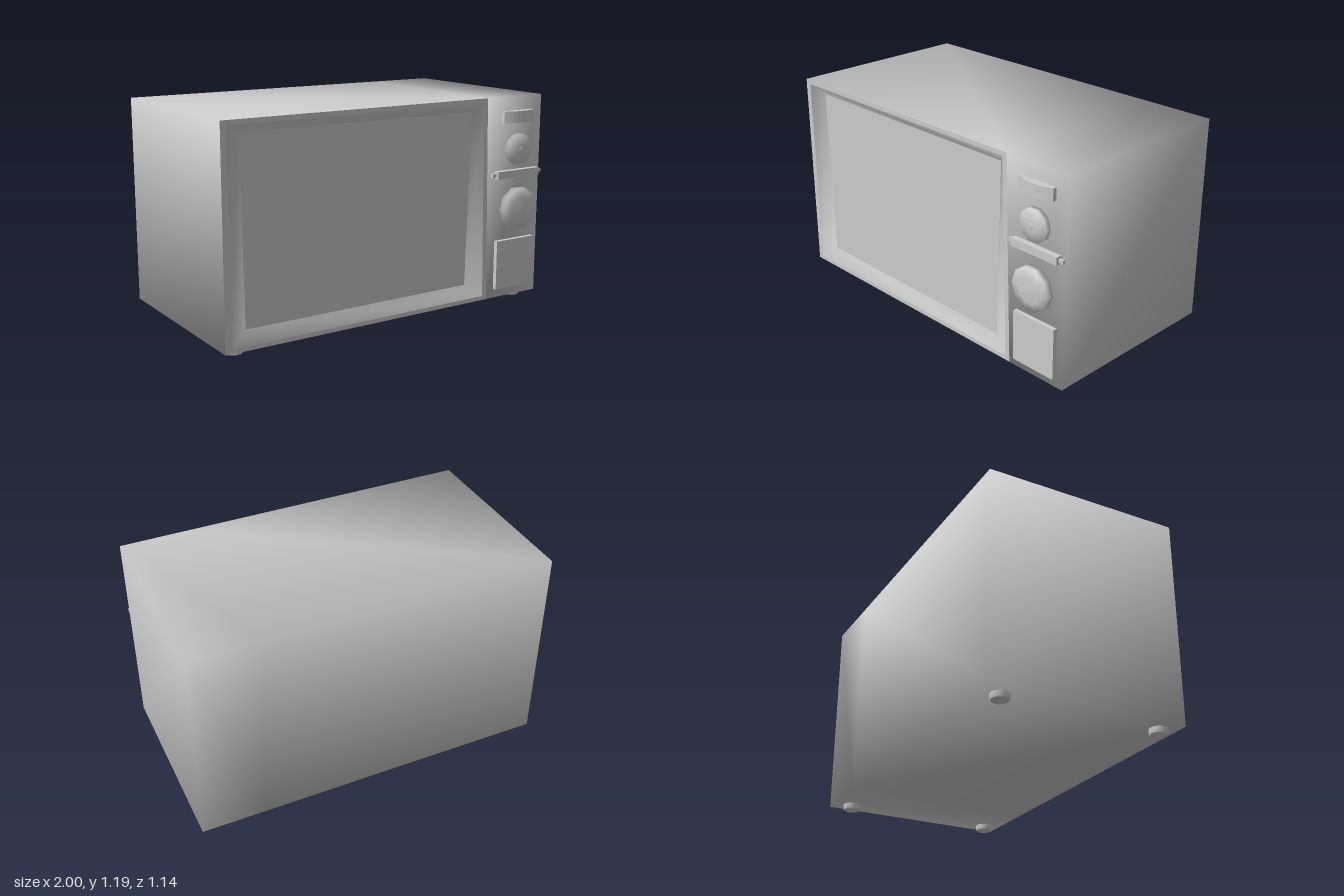
import * as THREE from 'three';

const material = new THREE.MeshStandardMaterial({ color: 0xcccccc });
const FRONT = 0.505, BACK = -0.572, TOP = 1.187, BOTTOM = 0.047;

function add(parent, name, geometry, x = 0, y = 0, z = 0) {
  const mesh = new THREE.Mesh(geometry, material);
  mesh.name = name;
  mesh.position.set(x, y, z);
  parent.add(mesh);
  return mesh;
}

// Smooth skin over closed loops of equal length, running counter-clockwise from back to front
function loft(rings, caps) {
  const n = rings[0].length;
  const index = [];
  for (let r = 0; r < rings.length - 1; r++) {
    for (let k = 0; k < n; k++) {
      const a = r * n + k, b = r * n + (k + 1) % n;
      index.push(a, b, a + n, b, b + n, a + n);
    }
  }
  const geometry = new THREE.BufferGeometry();
  geometry.setAttribute('position', new THREE.Float32BufferAttribute(rings.flat(2), 3));
  geometry.setIndex([...index, ...caps]);
  geometry.computeVertexNormals();
  return geometry;
}

const loop = (z, ...corners) => corners.map(([x, y]) => [x, y, z]);

// Door outlines: outer edge, inner edge of the lip, and the sunken window
const doorOuter = [[-1, BOTTOM], [0.64, BOTTOM], [0.61, TOP], [-1, TOP]];
const doorLip = [[-0.965, 0.07], [0.61, 0.07], [0.585, 1.163], [-0.965, 1.163]];
const doorWindow = [[-0.868, 0.142], [0.51, 0.142], [0.535, 1.114], [-0.882, 1.114]];

// Body shell: back, four sides and the flush control panel beside the door
function shellGeometry() {
  const [bl, bm, tm, tl] = doorOuter;
  const outline = [bl, bm, [1, BOTTOM], [1, TOP], tm, tl];
  const back = [0, 5, 4, 0, 4, 1, 1, 4, 3, 1, 3, 2];
  const panel = [7, 8, 9, 7, 9, 10];
  return loft([loop(BACK, ...outline), loop(FRONT, ...outline)], [...back, ...panel]);
}

// Ten-sided turned part whose axis points forward; profile pairs are [radius, depth]
function turned(profile) {
  const points = profile.map(([r, d]) => new THREE.Vector2(r, d));
  return new THREE.LatheGeometry(points, 10, Math.PI / 2).rotateX(Math.PI / 2);
}

// Button with a bowed front, drawn from above and extruded upwards
function buttonGeometry(width, height, edge, bulge) {
  const w = width / 2;
  const shape = new THREE.Shape();
  shape.moveTo(-w, 0);
  shape.lineTo(w, 0);
  shape.lineTo(w, -edge);
  shape.quadraticCurveTo(0, -edge - bulge * 2, -w, -edge);
  shape.closePath();
  return new THREE.ExtrudeGeometry(shape, { depth: height, bevelEnabled: false, curveSegments: 8 })
    .rotateX(-Math.PI / 2)
    .translate(0, -height / 2, 0);
}

export function createModel() {
  const model = new THREE.Group();
  model.name = 'microwaveOven';
  add(model, 'shell', shellGeometry());

  // Door: flat lip, sloping surround and sunken window
  const sunk = FRONT - 0.04;
  add(model, 'doorLip', loft([loop(FRONT, ...doorOuter), loop(FRONT, ...doorLip)], []));
  add(model, 'doorSurround', loft([loop(FRONT, ...doorLip), loop(sunk, ...doorWindow)], []));
  add(model, 'doorWindow', loft([loop(sunk, ...doorWindow)], [0, 1, 2, 0, 2, 3]));

  // Control column
  const controls = new THREE.Group();
  controls.name = 'controls';
  controls.position.set(0.823, 0, FRONT);
  model.add(controls);

  add(controls, 'topButton', buttonGeometry(0.215, 0.065, 0.021, 0.022), 0, 1.076);

  add(controls, 'upperKnob', turned([
    [0.05, 0], [0.05, 0.012], [0.09, 0.012], [0.088, 0.038],
    [0.035, 0.05], [0.025, 0.046], [0.015, 0.051], [0, 0.052],
  ]), 0, 0.893);

  add(controls, 'lowerKnob', turned([
    [0.05, 0], [0.05, 0.019], [0.122, 0.019], [0.119, 0.053], [0.07, 0.062], [0, 0.066],
  ]), 0, 0.56);

  // Divider bar with thin end pins
  add(controls, 'dividerBar', new THREE.BoxGeometry(0.3, 0.042, 0.033), 0, 0.757, 0.0165);
  for (const side of [-1, 1]) {
    add(controls, 'dividerPin', new THREE.BoxGeometry(0.03, 0.02, 0.014), side * 0.163, 0.757, 0.012);
  }

  add(controls, 'doorButton', new THREE.BoxGeometry(0.27, 0.28, 0.024), 0, 0.24, 0.012);

  // Feet with a small pointed tip
  const foot = new THREE.LatheGeometry([
    [0, 0], [0.009, 0.013], [0.042, 0.014], [0.049, 0.02], [0.049, 0.05],
  ].map(([r, y]) => new THREE.Vector2(r, y)), 12);
  for (const x of [-0.908, 0.908]) {
    for (const z of [-0.47, 0.41]) add(model, 'foot', foot, x, 0, z);
  }
  return model;
}
